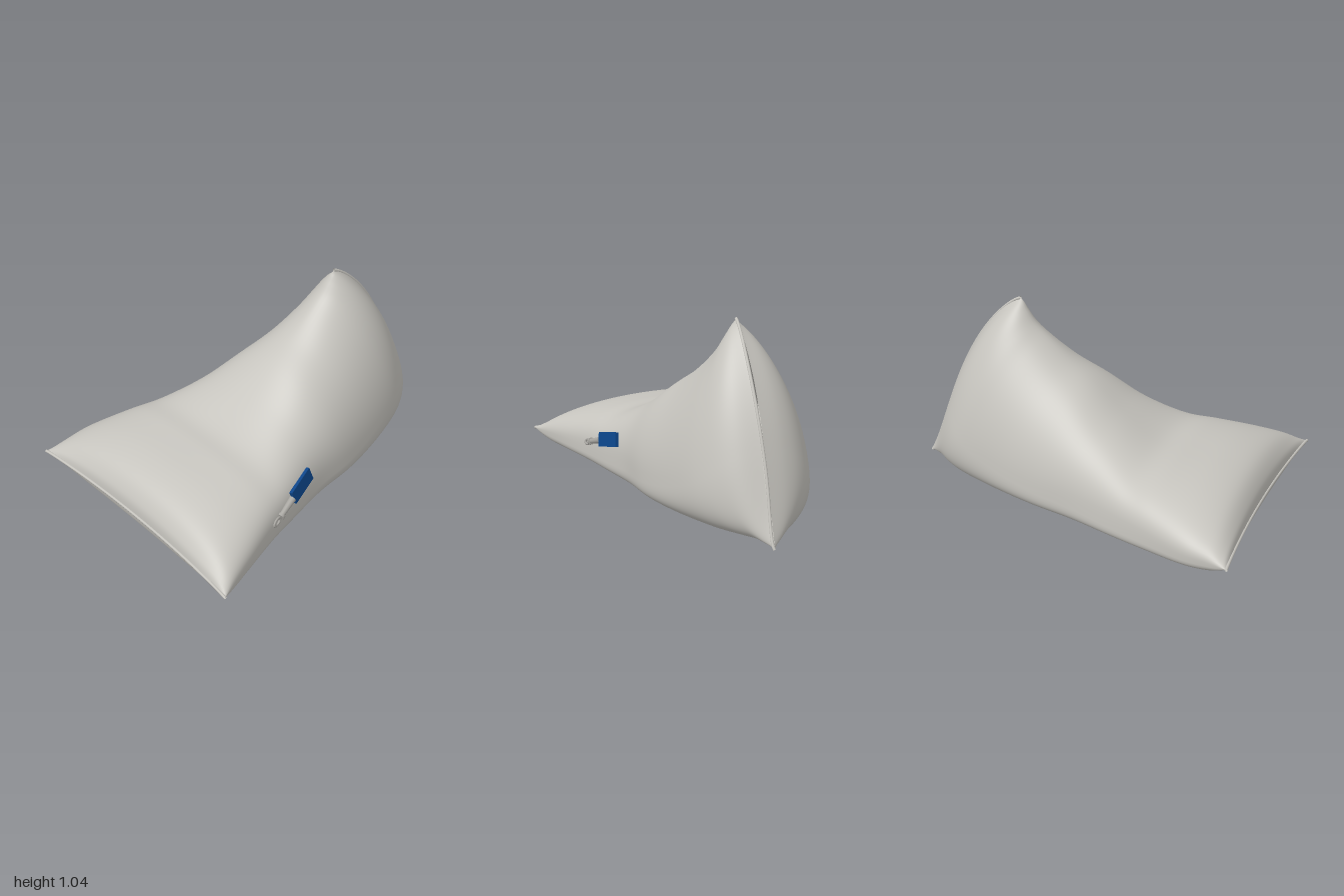
import * as THREE from 'three';

// Cross-sections from the front seam to the back seam:
// zBottom, zTop, yBottom, yTop, yWidest, centreX, halfWidth, topPower, bottomPower, backBulge
const SECTIONS = [
  [0.955, 0.955, 0.105, 0.118, 0.111, 0, 0.755, 1, 1, 0],
  [0.93, 0.945, 0.045, 0.2, 0.112, -0.003, 0.745, 1.05, 0.75, 0],
  [0.87, 0.88, 0.014, 0.288, 0.115, -0.012, 0.722, 0.98, 0.58, 0],
  [0.74, 0.75, 0.01, 0.34, 0.12, -0.03, 0.685, 0.9, 0.48, 0],
  [0.5, 0.56, 0.008, 0.368, 0.13, -0.035, 0.605, 0.76, 0.42, 0],
  [0.3, 0.4, 0.006, 0.388, 0.14, -0.03, 0.545, 0.72, 0.4, 0],
  [0.05, 0.2, 0.002, 0.505, 0.16, -0.02, 0.475, 0.84, 0.42, 0],
  [-0.2, 0.02, 0.004, 0.64, 0.18, -0.008, 0.435, 0.95, 0.45, 0],
  [-0.45, -0.13, 0.008, 0.735, 0.22, -0.005, 0.385, 1.0, 0.55, 0.15],
  [-0.68, -0.26, 0.014, 0.84, 0.28, -0.008, 0.33, 1.02, 0.7, 0.4],
  [-0.81, -0.33, 0.024, 0.905, 0.33, -0.01, 0.278, 0.97, 0.82, 0.6],
  [-0.9, -0.375, 0.034, 0.968, 0.39, -0.006, 0.205, 0.92, 0.9, 0.8],
  [-0.96, -0.4, 0.03, 1.008, 0.43, 0, 0.118, 0.9, 0.9, 0.95],
  [-1.0, -0.42, 0.022, 1.03, 0.45, 0.004, 0.008, 1, 1, 1],
];
const COLUMNS = SECTIONS[0].map((_, c) =>
  new THREE.SplineCurve(SECTIONS.map((row, i) => new THREE.Vector2(i, row[c]))));

// Point on the cushion: t runs front to back, a runs round the section
function skin(t, a) {
  const [zB, zT, yB, yT, yW, cx, w, pTop, pBottom, bulge] = COLUMNS.map((c) => c.getPoint(t).y);
  const s = Math.sin(a), c = Math.cos(a), p = s > 0 ? pTop : pBottom;
  const side = Math.sign(c) * Math.pow(Math.abs(c), p);
  const rise = Math.pow(Math.abs(s), p);
  const y = s > 0 ? yW + (yT - yW) * rise : yW - (yW - yB) * rise;
  const v = THREE.MathUtils.clamp((y - yB) / (yT - yB), 0, 1);
  const bow = 0.035 * side * side * Math.max(0, 1 - t * 4);
  const z = THREE.MathUtils.lerp(zB, zT, v) + bow
    - 0.45 * bulge * Math.pow(v, 1.6) * Math.pow(1 - v, 0.7);
  return new THREE.Vector3(cx + w * side, y, z);
}

function cushionGeometry(rows = 78, ring = 96) {
  const positions = [], indices = [];
  for (let i = 0; i <= rows; i++) {
    for (let j = 0; j < ring; j++) {
      positions.push(...skin(i / rows, (j / ring) * Math.PI * 2).toArray());
    }
  }
  for (let i = 0; i < rows; i++) {
    for (let j = 0; j < ring; j++) {
      const k = (j + 1) % ring;
      const a = i * ring + j, b = i * ring + k, c = a + ring, d = b + ring;
      indices.push(a, c, b, b, c, d);
    }
  }
  const g = new THREE.BufferGeometry();
  g.setAttribute('position', new THREE.Float32BufferAttribute(positions, 3));
  g.setIndex(indices);
  g.computeVertexNormals();
  return g;
}

export function createModel() {
  const model = new THREE.Group();
  const fabric = new THREE.MeshStandardMaterial({ color: 0xc6c4be, side: THREE.DoubleSide });
  fabric.name = 'light grey fabric';
  const blue = new THREE.MeshStandardMaterial({ color: 0x0c4589 });
  blue.name = 'blue label';
  const metal = new THREE.MeshStandardMaterial({ color: 0xa8a6a1 });
  metal.name = 'grey metal';

  const add = (parent, name, geometry, material) => {
    const mesh = new THREE.Mesh(geometry, material);
    mesh.name = name;
    parent.add(mesh);
    return mesh;
  };

  add(model, 'cushion', cushionGeometry(), fabric);

  // Piped seams along the front edge and up the back edge
  const seam = (name, points) => add(model, name,
    new THREE.TubeGeometry(new THREE.CatmullRomCurve3(points), 60, 0.008, 8), fabric);
  const front = [], back = [];
  for (let i = 0; i <= 16; i++) {
    const f = i / 16;
    front.push(skin(0, Math.PI * f).setY(0.11 + 0.01 * Math.sin(Math.PI * f)));
    back.push(skin(1, -Math.PI / 2 + Math.PI * f).setX(0.006 + 0.005 * Math.sin(f * 11)));
  }
  seam('frontSeam', front);
  seam('backSeam', back);

  // Label lying on the left side; local x runs towards the front
  const zip = new THREE.Group();
  zip.name = 'zipLabel';
  const along = new THREE.Vector3(0.29, -0.24, 0.92).normalize();
  const out = new THREE.Vector3(0.95, 0.2, -0.28);
  out.addScaledVector(along, -out.dot(along)).normalize();
  const across = out.clone().cross(along);
  zip.quaternion.setFromRotationMatrix(new THREE.Matrix4().makeBasis(along, across, out));
  zip.position.set(0.495, 0.238, 0.255);
  model.add(zip);
  add(zip, 'label', new THREE.BoxGeometry(0.18, 0.08, 0.018), blue);

  // Zip pull hanging from the label, a little flatter than it
  const pull = new THREE.Group();
  pull.name = 'zipPull';
  pull.position.set(0.088, 0.004, -0.003);
  pull.rotation.set(0, 0.05, 0.08);
  zip.add(pull);
  const barrel = add(pull, 'pullBarrel', new THREE.CylinderGeometry(0.014, 0.019, 0.11, 16), metal);
  barrel.rotation.z = -Math.PI / 2;
  barrel.position.x = 0.057;
  const neck = add(pull, 'pullNeck', new THREE.CylinderGeometry(0.02, 0.02, 0.014, 16), metal);
  neck.rotation.z = -Math.PI / 2;
  neck.position.x = 0.117;
  const loop = add(pull, 'pullLoop', new THREE.TorusGeometry(0.014, 0.006, 8, 20), metal);
  loop.scale.x = 1.8;
  loop.position.x = 0.155;

  return model;
}
